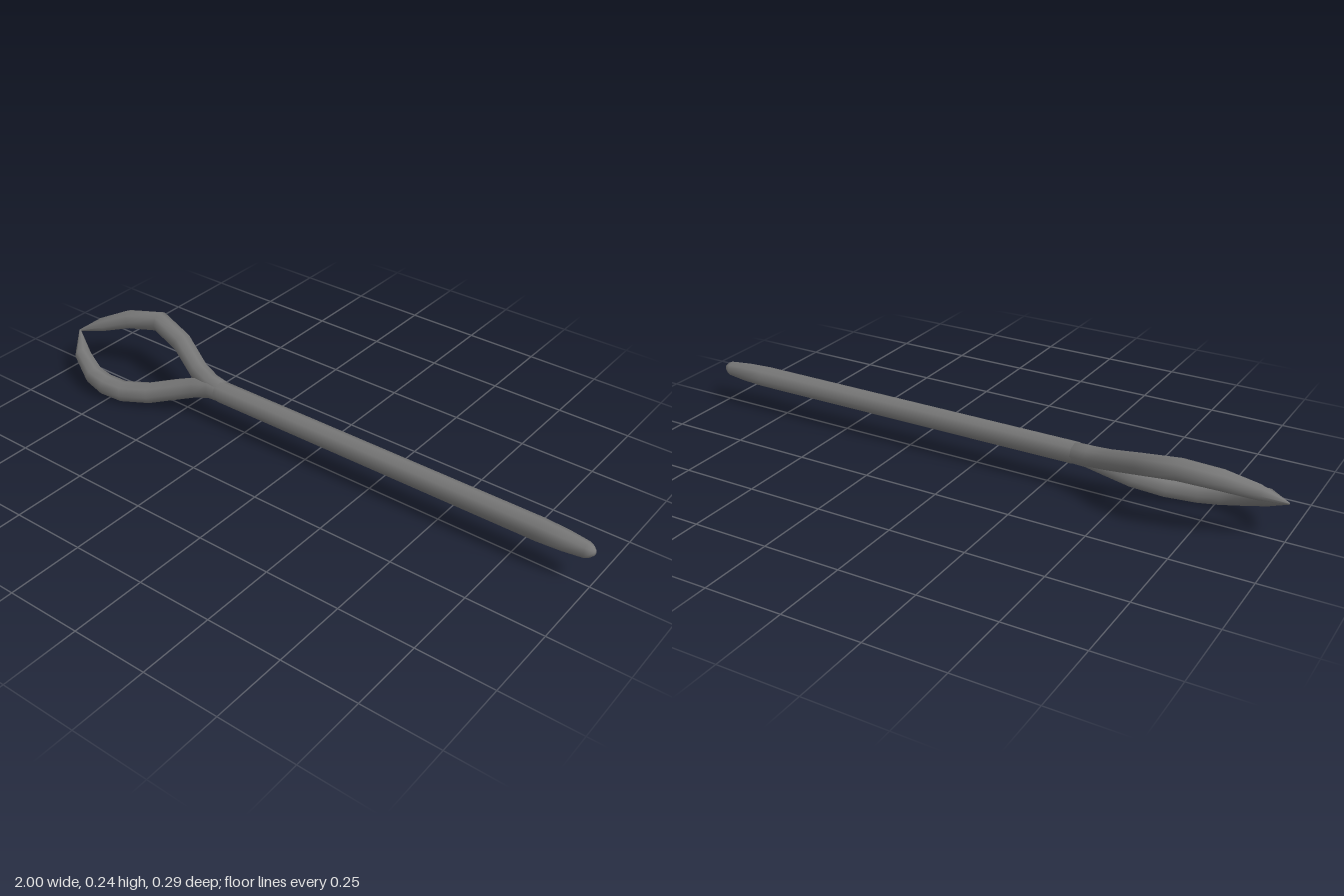
import * as THREE from 'three';

const SIDES = 8;

// Sweep an eight-sided ring along stations [x, y, z, radius], closing both ends
function sweep(name, stations, material) {
  const centres = stations.map(s => new THREE.Vector3(s[0], s[1], s[2]));
  const last = stations.length - 1;
  const positions = [], index = [];
  stations.forEach(([, , , r], i) => {
    const tangent = centres[Math.min(i + 1, last)].clone()
      .sub(centres[Math.max(i - 1, 0)]).normalize();
    const side = new THREE.Vector3().crossVectors(tangent, new THREE.Vector3(0, 1, 0)).normalize();
    const up = new THREE.Vector3().crossVectors(side, tangent);
    for (let j = 0; j < SIDES; j++) {
      const a = (j / SIDES) * Math.PI * 2;
      const p = centres[i].clone()
        .addScaledVector(up, Math.cos(a) * r)
        .addScaledVector(side, Math.sin(a) * r);
      positions.push(p.x, p.y, p.z);
    }
  });
  for (let i = 0; i < last; i++) {
    for (let j = 0; j < SIDES; j++) {
      const k = (j + 1) % SIDES;
      const a = i * SIDES + j, b = i * SIDES + k;
      const c = a + SIDES, d = b + SIDES;
      index.push(a, b, c, b, d, c);
    }
  }
  // End caps
  for (const end of [0, last]) {
    const centre = positions.length / 3;
    positions.push(...centres[end].toArray());
    for (let j = 0; j < SIDES; j++) {
      const a = end * SIDES + j, b = end * SIDES + (j + 1) % SIDES;
      index.push(centre, ...(end === 0 ? [b, a] : [a, b]));
    }
  }
  const geometry = new THREE.BufferGeometry();
  geometry.setAttribute('position', new THREE.Float32BufferAttribute(positions, 3));
  geometry.setIndex(index);
  geometry.computeVertexNormals();
  const mesh = new THREE.Mesh(geometry, material);
  mesh.name = name;
  return mesh;
}

export function createModel() {
  const group = new THREE.Group();
  group.name = 'forkedRod';
  const material = new THREE.MeshStandardMaterial({ color: 0x777777 });

  // Straight handle with a blunt tapered end
  group.add(sweep('handle', [
    [-0.42, 0.121, -0.003, 0.026], [-0.34, 0.121, -0.003, 0.036],
    [0.2, 0.121, -0.003, 0.036], [0.83, 0.121, -0.003, 0.036],
    [0.91, 0.121, -0.003, 0.032], [0.975, 0.121, -0.003, 0.025],
    [0.99, 0.121, -0.003, 0.018], [1.0, 0.121, -0.003, 0.008],
  ], material));

  // Upper prong, bowing up and to the back
  group.add(sweep('upperProng', [
    [-1.0, 0.125, 0.0, 0.003], [-0.92, 0.159, -0.039, 0.025],
    [-0.83, 0.191, -0.082, 0.033], [-0.715, 0.208, -0.112, 0.035],
    [-0.59, 0.181, -0.085, 0.035], [-0.47, 0.141, -0.032, 0.034],
    [-0.4, 0.127, -0.012, 0.034], [-0.33, 0.121, -0.003, 0.034],
  ], material));

  // Lower prong, bowing down and to the front with a slight twist
  group.add(sweep('lowerProng', [
    [-1.0, 0.125, 0.0, 0.003], [-0.915, 0.09, 0.072, 0.028],
    [-0.83, 0.057, 0.107, 0.034], [-0.77, 0.044, 0.111, 0.036],
    [-0.7, 0.038, 0.1, 0.036], [-0.61, 0.049, 0.066, 0.036],
    [-0.52, 0.077, 0.025, 0.036], [-0.45, 0.102, 0.006, 0.035],
    [-0.39, 0.118, -0.002, 0.034], [-0.33, 0.121, -0.003, 0.034],
  ], material));

  return group;
}
